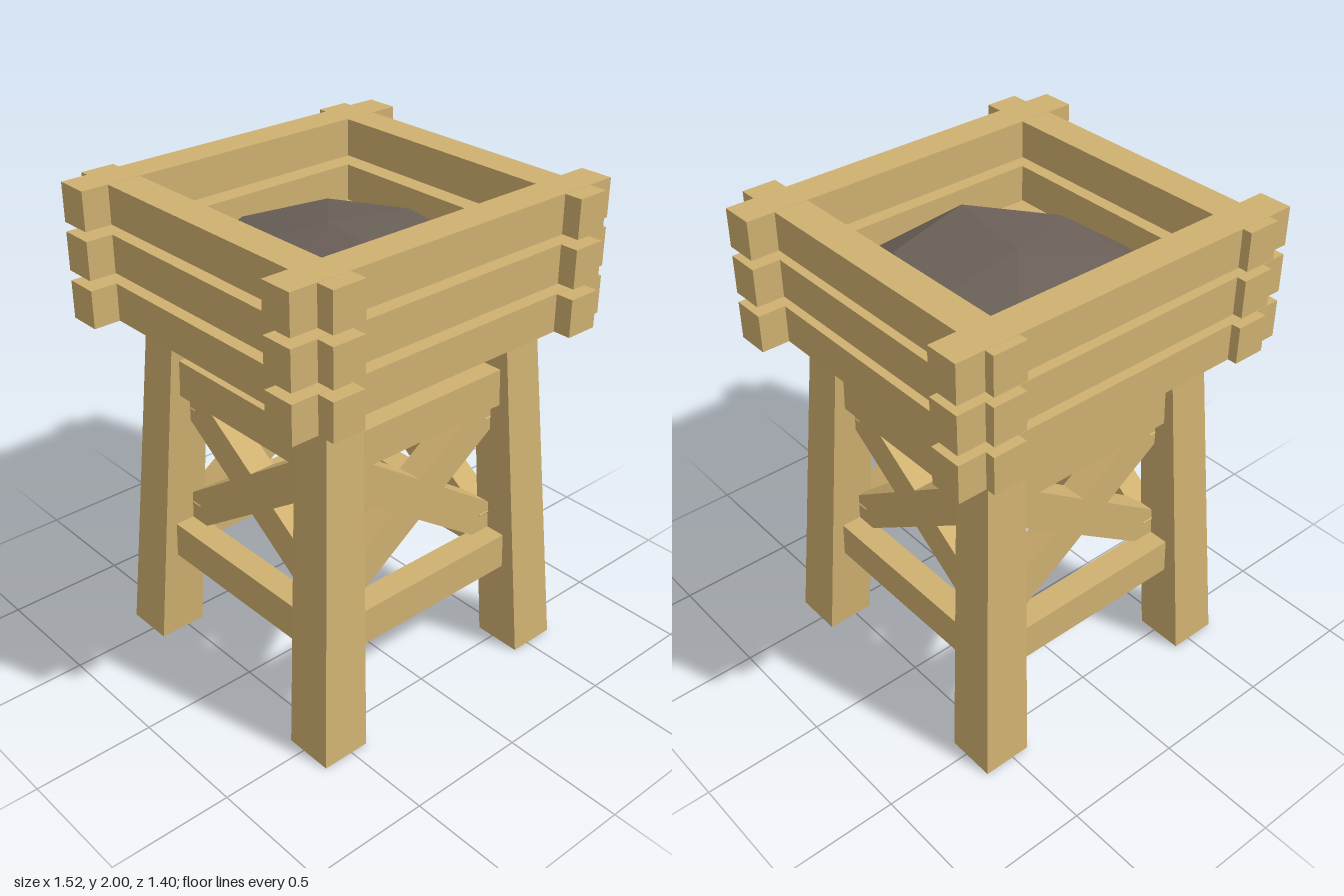
import * as THREE from 'three';
import { ConvexGeometry } from 'three/addons/geometries/ConvexGeometry.js';

const wood = new THREE.MeshStandardMaterial({ color: 0xcfb070, flatShading: true });
const stone = new THREE.MeshStandardMaterial({ color: 0x6a6058, flatShading: true });

function box(name, w, h, d, x, y, z) {
  const m = new THREE.Mesh(new THREE.BoxGeometry(w, h, d), wood);
  m.name = name;
  m.position.set(x, y, z);
  return m;
}

// Square post that leans inward and narrows toward the top
function makeLeg(sx, sz) {
  const height = 1.635;
  const geo = new THREE.BoxGeometry(1, height, 1);
  geo.translate(0, height / 2, 0);
  const p = geo.attributes.position;
  for (let i = 0; i < p.count; i++) {
    const top = p.getY(i) > 0.1;
    const centre = top ? 0.432 : 0.527;
    const width = top ? 0.163 : 0.205;
    p.setX(i, sx * centre + p.getX(i) * width);
    p.setZ(i, sz * centre + p.getZ(i) * width);
  }
  geo.computeVertexNormals();
  const leg = new THREE.Mesh(geo, wood);
  leg.name = 'leg';
  return leg;
}

// Two rails and a crossed brace for one side
function makeSideFrame() {
  const frame = new THREE.Group();
  frame.name = 'sideFrame';
  frame.add(box('lowerRail', 0.96, 0.155, 0.11, 0, 0.472, 0.485));
  frame.add(box('upperRail', 0.88, 0.155, 0.11, 0, 1.222, 0.445));
  for (const s of [-1, 1]) {
    const brace = box('crossBrace', 1.01, 0.15, 0.11, 0, 0.85, 0.4);
    brace.rotation.z = s * 0.6;
    frame.add(brace);
  }
  return frame;
}

// Faceted boulder held by the crib
function makeBoulder() {
  const points = [
    // crown
    [-0.02, 1.835, -0.045], [-0.085, 1.835, 0.355], [-0.41, 1.75, -0.25], [-0.38, 1.785, 0.115],
    [0.41, 1.775, -0.055], [0.28, 1.79, 0.3], [0.26, 1.765, -0.37], [-0.09, 1.75, -0.47],
    // girdle
    [-0.6, 1.64, -0.25], [-0.2, 1.64, -0.56], [0.42, 1.64, -0.575], [0.58, 1.64, -0.2],
    [0.585, 1.64, 0.1], [0.46, 1.64, 0.55], [-0.27, 1.64, 0.55], [-0.59, 1.62, 0.28],
    // underside
    [-0.54, 1.43, 0.32], [-0.42, 1.47, -0.33], [0.4, 1.47, -0.42], [0.46, 1.47, 0.35], [0, 1.46, 0.42],
  ].map((c) => new THREE.Vector3(...c));
  const boulder = new THREE.Mesh(new ConvexGeometry(points), stone);
  boulder.name = 'boulder';
  return boulder;
}

export function createModel() {
  const model = new THREE.Group();
  model.name = 'timberTower';

  for (const sx of [-1, 1]) for (const sz of [-1, 1]) model.add(makeLeg(sx, sz));

  for (let i = 0; i < 4; i++) {
    const frame = makeSideFrame();
    frame.rotation.y = (i * Math.PI) / 2;
    model.add(frame);
  }

  // Crib of three stacked beam squares with overlapping corners
  const crib = new THREE.Group();
  crib.name = 'crib';
  for (const y of [1.537, 1.732, 1.924]) {
    crib.add(box('frontBeam', 1.52, 0.154, 0.136, 0, y, 0.558));
    crib.add(box('backBeam', 1.52, 0.154, 0.136, 0, y, -0.592));
    crib.add(box('leftBeam', 0.138, 0.152, 1.4, 0.576, y, 0));
    crib.add(box('rightBeam', 0.138, 0.152, 1.4, -0.58, y, 0));
  }
  model.add(crib, makeBoulder());
  return model;
}
